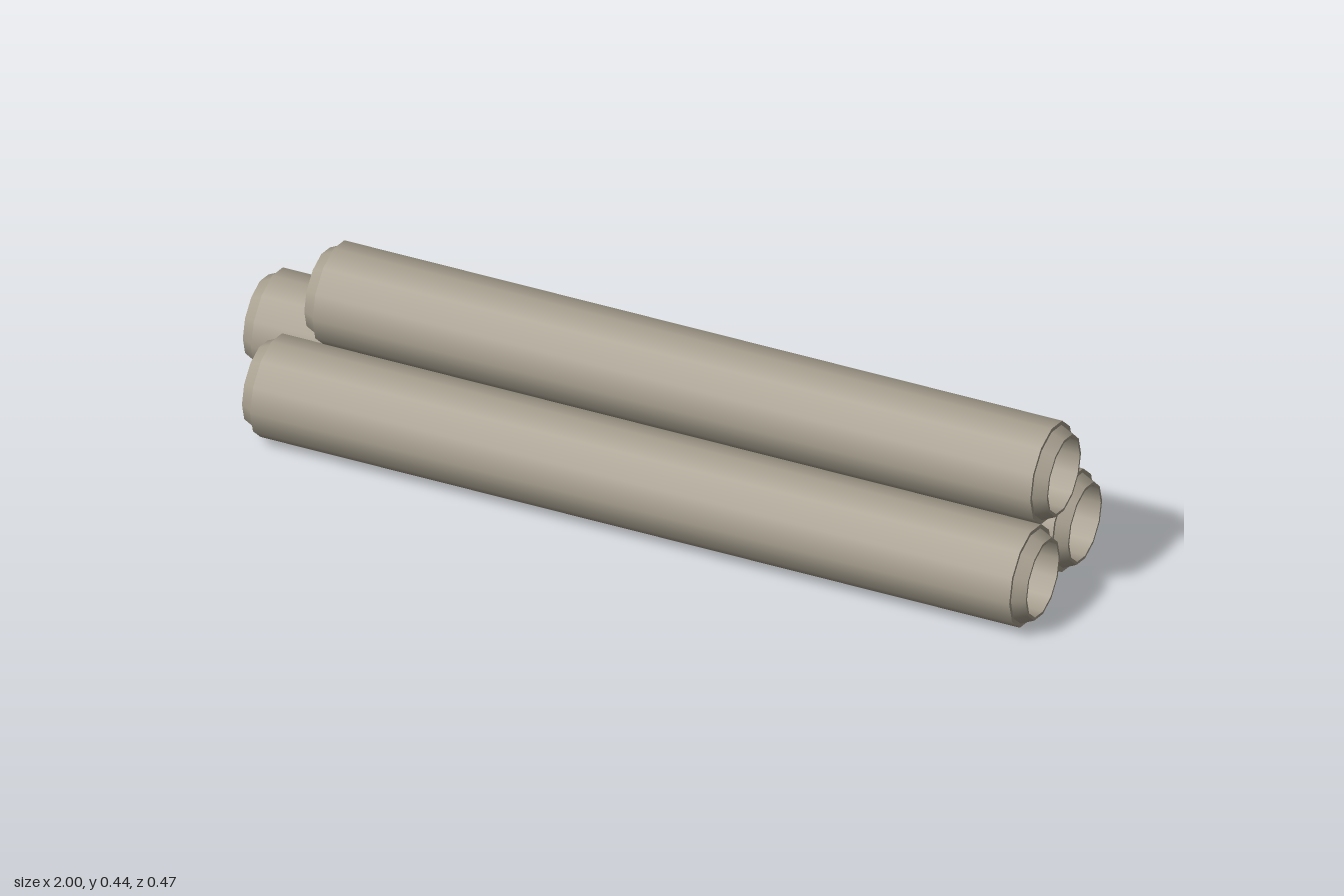
import * as THREE from 'three';
import { mergeGeometries } from 'three/addons/utils/BufferGeometryUtils.js';

const SIDES = 12;
const OUTER = 0.1185, STEP = 0.109, TIP = 0.095, BORE = 0.088, END = 0.03;

// Hollow pipe along x with a stepped, tapered collar at both ends.
// Each profile segment is its own lathe, so the edges between them stay sharp.
function pipeGeometry(x0, x1) {
  const profile = [
    [BORE, x0], [TIP, x0], [STEP, x0 + END], [OUTER, x0 + END],
    [OUTER, x1 - END], [STEP, x1 - END], [TIP, x1], [BORE, x1], [BORE, x0],
  ].map(([r, y]) => new THREE.Vector2(r, y));
  const parts = [];
  for (let i = 0; i < profile.length - 1; i++) {
    parts.push(new THREE.LatheGeometry([profile[i], profile[i + 1]], SIDES));
  }
  return mergeGeometries(parts).rotateZ(-Math.PI / 2);
}

export function createModel() {
  const group = new THREE.Group();
  group.name = 'pipeStack';
  const metal = new THREE.MeshStandardMaterial({ color: 0xa8a090 });
  metal.name = 'warm grey';

  // Flush at the right end, staggered at the other
  const pipes = [
    ['topPipe', -0.8, 0.324, 0],
    ['frontPipe', -0.9, 0.1185, 0.117],
    ['backPipe', -1, 0.1185, -0.117],
  ];
  for (const [name, start, y, z] of pipes) {
    const pipe = new THREE.Mesh(pipeGeometry(start, 1), metal);
    pipe.name = name;
    pipe.position.set(0, y, z);
    group.add(pipe);
  }
  return group;
}
